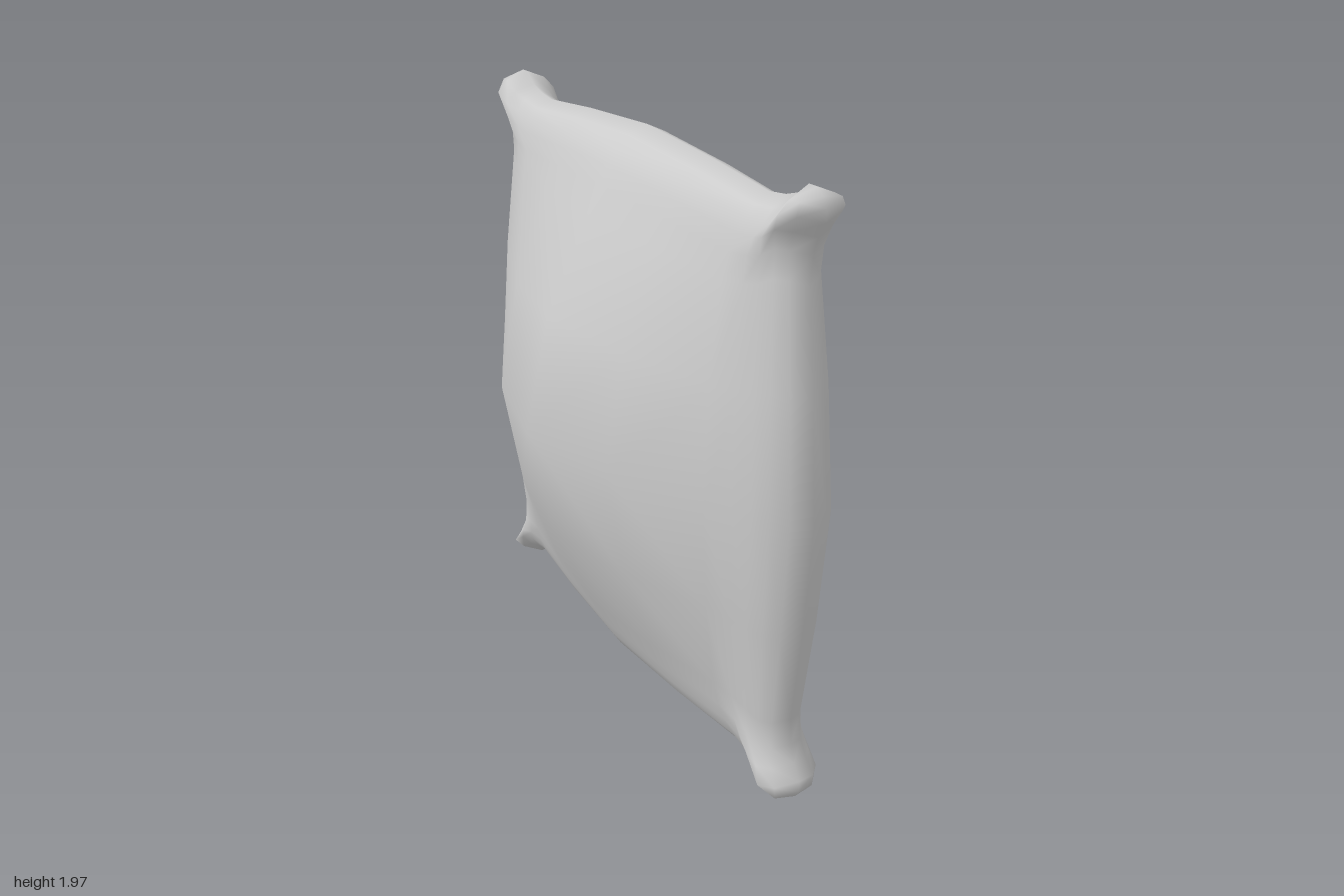
import * as THREE from 'three';
import { mergeVertices } from 'three/addons/utils/BufferGeometryUtils.js';

// Stations from the cushion's middle (0) to its seam (1)
const STATIONS = [0, 0.4, 0.73, 0.82, 0.88, 0.93, 0.97, 1];
// Half depth and half height at each station: bowed sides, a notch, then the corner knob
const HALF_Z = [1.0, 0.967, 0.927, 0.935, 0.955, 0.988, 0.988, 0.968];
const HALF_Y = [0.97, 0.948, 0.92, 0.932, 0.95, 0.986, 0.986, 0.966];
// Fall-off of the stuffing towards the seam
const PUFF = [1, 0.76, 0.34, 0.23, 0.17, 0.12, 0.05, 0];
const CENTRE_Y = 0.99;

// Half thickness: stuffing, plus a rounded rim that swells at the corners
function halfThickness(i, j) {
  const a = STATIONS[i], b = STATIONS[j];
  const t = Math.max(0, (Math.max(a, b) - 0.7) / 0.3);
  const round = Math.sqrt(Math.max(0, 1 - t ** 3));
  const knob = Math.exp(-((a - 0.94) ** 2 + (b - 0.94) ** 2) / 0.008);
  return 0.36 * PUFF[i] * PUFF[j] + (0.088 + 0.055 * knob) * round;
}

function cushionGeometry() {
  const n = STATIONS.length - 1, size = 2 * n + 1;
  const positions = [], indices = [];
  for (const side of [1, -1]) {
    const base = positions.length / 3;
    for (let r = -n; r <= n; r++) {
      for (let c = -n; c <= n; c++) {
        const i = Math.abs(c), j = Math.abs(r);
        positions.push(
          side * halfThickness(i, j),
          CENTRE_Y + Math.sign(r) * STATIONS[j] * HALF_Y[i],
          Math.sign(c) * STATIONS[i] * HALF_Z[j]
        );
      }
    }
    for (let r = 0; r < size - 1; r++) {
      for (let c = 0; c < size - 1; c++) {
        const p = base + r * size + c, q = p + 1, s = p + size, t = s + 1;
        // Diagonals run towards the corners so all quarters match
        const rising = (r < n) === (c < n);
        const tris = rising ? [p, s, t, p, t, q] : [p, s, q, q, s, t];
        if (side < 0) tris.reverse();
        indices.push(...tris);
      }
    }
  }
  const geometry = new THREE.BufferGeometry();
  geometry.setAttribute('position', new THREE.Float32BufferAttribute(positions, 3));
  geometry.setIndex(indices);
  // Weld the two faces along the seam for smooth shading
  const welded = mergeVertices(geometry, 1e-4);
  welded.computeVertexNormals();
  return welded;
}

export function createModel() {
  const model = new THREE.Group();
  model.name = 'pillow';
  const cushion = new THREE.Mesh(
    cushionGeometry(),
    new THREE.MeshStandardMaterial({ color: 0xcccccc })
  );
  cushion.name = 'cushion';
  model.add(cushion);
  return model;
}
